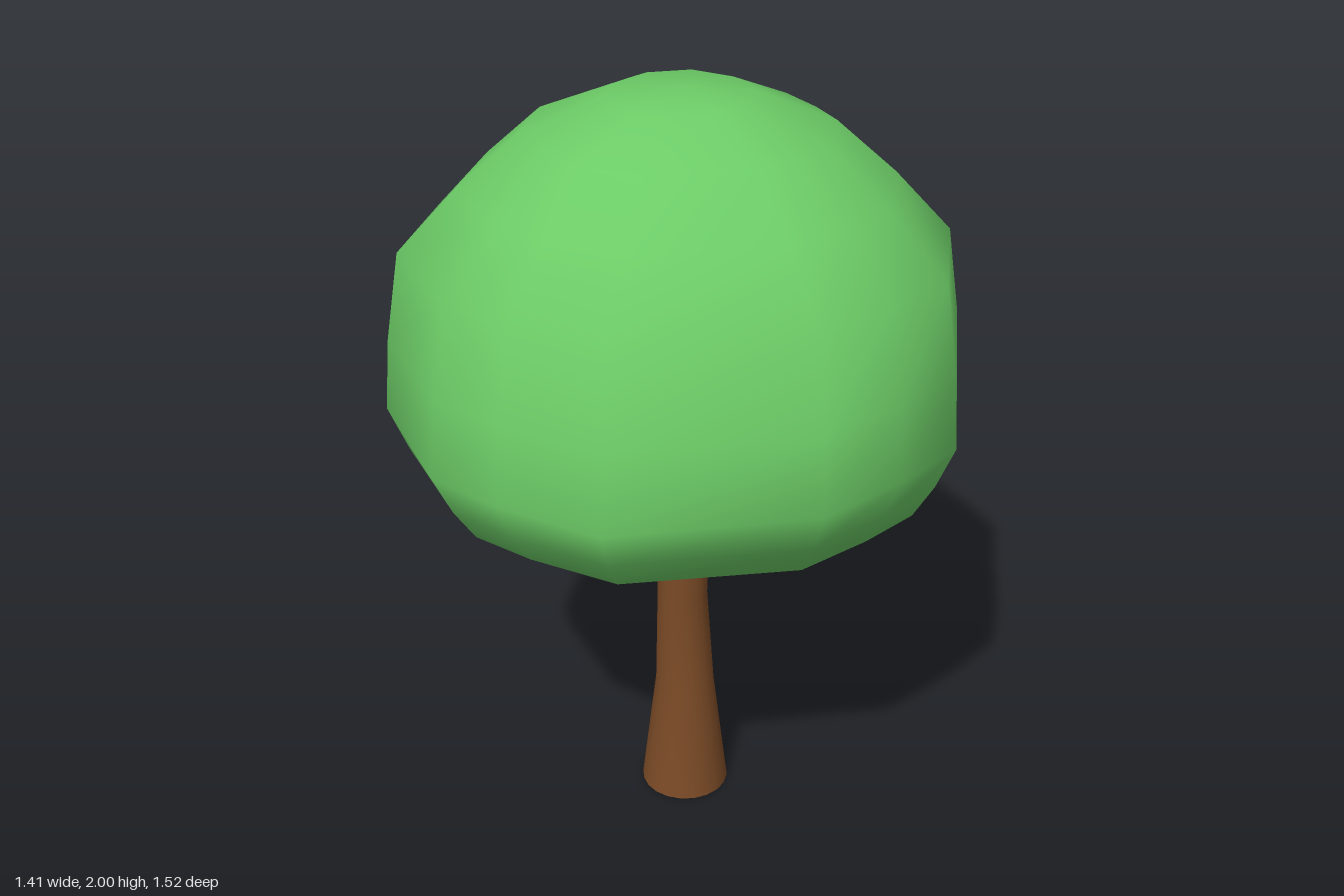
import * as THREE from 'three';

// Skins a stack of rings (arrays of [x, y, z], bottom to top); optional end points close it.
function loft(rings, bottom, top) {
  const n = rings[0].length;
  const positions = rings.flat(2);
  const index = [];
  for (let i = 0; i < rings.length - 1; i++) {
    for (let j = 0; j < n; j++) {
      const a = i * n + j, b = i * n + (j + 1) % n;
      index.push(a, a + n, b, b, a + n, b + n);
    }
  }
  const cap = (point, start, up) => {
    const c = positions.length / 3;
    positions.push(...point);
    for (let j = 0; j < n; j++) {
      const p = start + j, q = start + (j + 1) % n;
      index.push(c, up ? q : p, up ? p : q);
    }
  };
  if (bottom) cap(bottom, 0, false);
  if (top) cap(top, (rings.length - 1) * n, true);
  const geometry = new THREE.BufferGeometry();
  geometry.setAttribute('position', new THREE.Float32BufferAttribute(positions, 3));
  geometry.setIndex(index);
  geometry.computeVertexNormals();
  return geometry;
}

export function createModel() {
  const tree = new THREE.Group();
  tree.name = 'tree';
  const leaf = new THREE.MeshStandardMaterial({ color: 0x6ccb66 });
  const bark = new THREE.MeshStandardMaterial({ color: 0x7a4a26 });

  const add = (name, geometry, material) => {
    const mesh = new THREE.Mesh(geometry, material);
    mesh.name = name;
    tree.add(mesh);
    return mesh;
  };

  // Trunk: flared foot, slightly crooked. Sections are [y, radius, x, z].
  const sections = [
    [0, 0.12, 0.015, 0.025],
    [0.33, 0.08, 0.013, 0.015],
    [0.62, 0.067, 0.007, 0.027],
    [0.97, 0.069, 0.014, 0.025],
  ];
  const sides = 20;
  const trunkRings = sections.map(([y, r, x, z]) =>
    Array.from({ length: sides }, (_, j) => {
      const a = (j / sides) * Math.PI * 2;
      return [x + r * Math.cos(a), y, z + r * Math.sin(a)];
    }));
  add('trunk', loft(trunkRings), bark);
  const base = add('trunkBase', new THREE.CircleGeometry(0.12, sides), bark);
  base.rotation.x = Math.PI / 2;
  base.position.set(0.015, 0, 0.025);

  // Canopy: one irregular outline (x, z), scaled level by level.
  const outline = [
    [0.03, -0.76], [0.45, -0.56], [0.6, -0.34], [0.7, -0.14], [0.68, 0.28],
    [0.55, 0.45], [0.38, 0.63], [-0.1, 0.76], [-0.35, 0.65], [-0.52, 0.54],
    [-0.71, 0.2], [-0.68, -0.21], [-0.53, -0.43], [-0.39, -0.62],
  ];
  // Levels are [y, x scale, z scale, z shift].
  const levels = [
    [0.9, 0.47, 0.33, 0.04],
    [0.94, 0.68, 0.58, 0.01],
    [1.0, 0.87, 0.79, 0],
    [1.1, 0.94, 0.9, 0],
    [1.22, 1, 1, 0],
    [1.4, 0.98, 0.94, 0],
    [1.62, 0.93, 0.855, 0],
    [1.77, 0.73, 0.68, 0],
    [1.9, 0.52, 0.5, 0],
    [1.98, 0.25, 0.25, 0.01],
  ];
  const canopyRings = levels.map(([y, sx, sz, dz]) =>
    outline.map(([x, z]) => [x * sx, y, z * sz + dz]));
  add('canopy', loft(canopyRings, [0, 0.91, 0.03], [0.02, 2, 0.03]), leaf);

  return tree;
}
